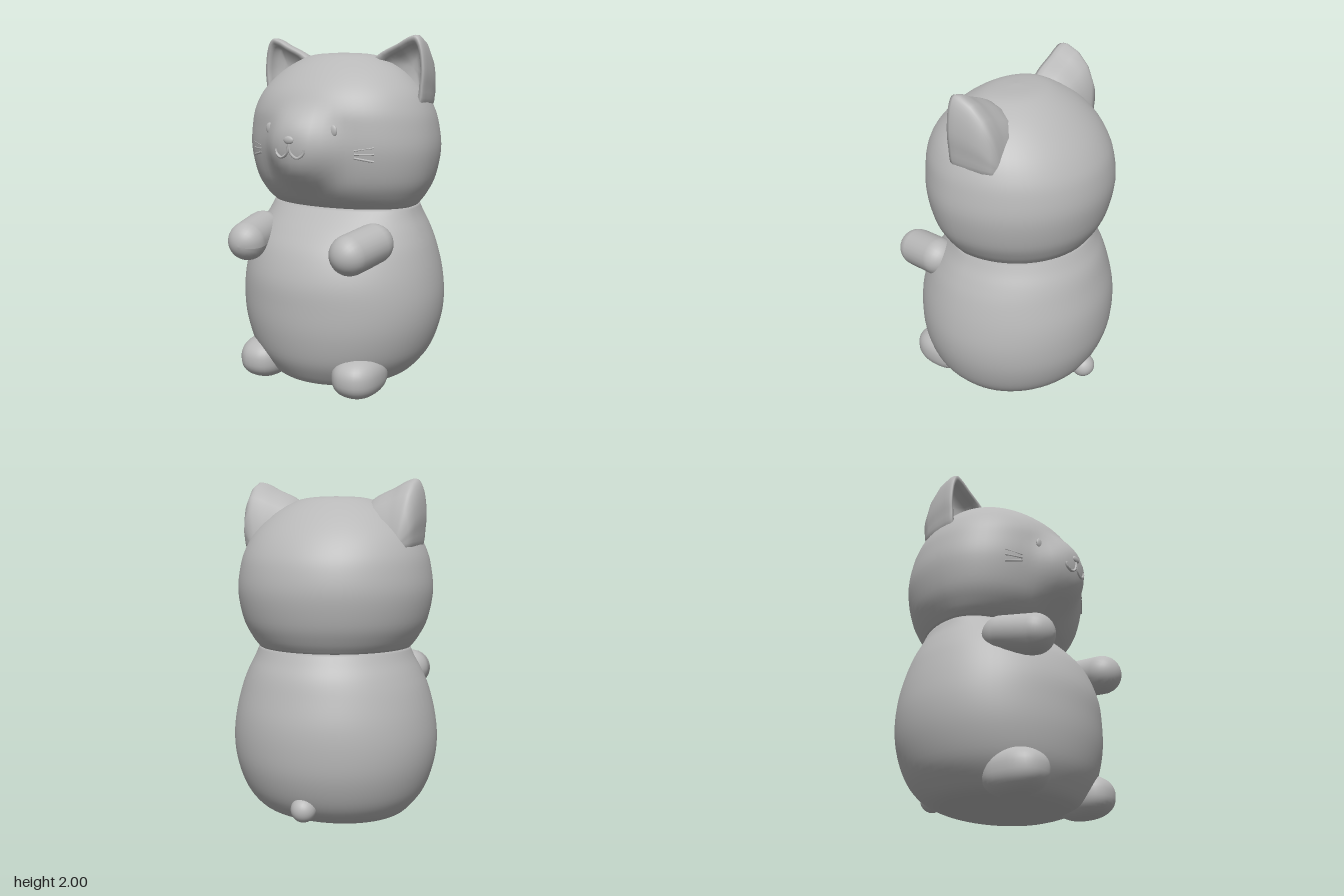
import * as THREE from 'three';

const fur = new THREE.MeshStandardMaterial({ color: 0xb8b8b8 });
fur.name = 'greyClay';

// Skin closed rings of equal length; both ends are closed with a fan.
function loft(rings) {
  const n = rings[0].length, pos = [], idx = [];
  rings.forEach(r => r.forEach(p => pos.push(...p)));
  for (let i = 0; i < rings.length - 1; i++)
    for (let j = 0; j < n; j++) {
      const a = i * n + j, b = i * n + (j + 1) % n;
      idx.push(a, a + n, b, b, a + n, b + n);
    }
  [0, rings.length - 1].forEach((k, end) => {
    const c = pos.length / 3, mid = [0, 1, 2].map(q => rings[k].reduce((s, p) => s + p[q], 0) / n);
    pos.push(...mid);
    for (let j = 0; j < n; j++) {
      const a = k * n + j, b = k * n + (j + 1) % n;
      idx.push(c, ...(end ? [b, a] : [a, b]));
    }
  });
  const g = new THREE.BufferGeometry();
  g.setAttribute('position', new THREE.Float32BufferAttribute(pos, 3));
  g.setIndex(idx);
  g.computeVertexNormals();
  return g;
}

// Rows are [y, half width, front depth, back depth], rounded off by a spline.
function roundForm(rows, bump = () => 0) {
  const side = new THREE.CatmullRomCurve3(rows.map(r => new THREE.Vector3(r[1], r[0], 0)), false, 'catmullrom');
  const deep = new THREE.CatmullRomCurve3(rows.map(r => new THREE.Vector3(r[2], r[0], r[3])), false, 'catmullrom');
  const rings = [], steps = rows.length * 4, n = 64;
  for (let i = 0; i <= steps; i++) {
    const s = side.getPoint(i / steps), d = deep.getPoint(i / steps), ring = [];
    for (let j = 0; j < n; j++) {
      const a = j / n * Math.PI * 2, c = Math.cos(a);
      const x = s.x * Math.sin(a), z = c > 0 ? d.x * c : d.z * c;
      ring.push([x, s.y, z + (c > 0 ? bump(x, s.y) : 0)]);
    }
    rings.push(ring.reverse());
  }
  return loft(rings);
}

// Mirror a geometry across x and restore its winding.
function mirrored(geo) {
  const g = geo.clone().scale(-1, 1, 1), a = g.index.array;
  for (let i = 0; i < a.length; i += 3) [a[i], a[i + 1]] = [a[i + 1], a[i]];
  g.computeVertexNormals();
  return g;
}

const muzzle = (x, y) => 0.09 * Math.exp(-(((x * x + (y - 1.38) ** 2) / 0.04) ** 2));
const faceZ = (x, y) => 0.462 * Math.sqrt(1 - (x / 0.575) ** 2) + muzzle(x, y);

// Thin raised line that follows the face.
function faceLine(points, radius = 0.006) {
  const curve = new THREE.CatmullRomCurve3(points.map(([x, y]) => new THREE.Vector3(x, y, faceZ(x, y))));
  return new THREE.TubeGeometry(curve, 14, radius, 6);
}

function capsule(from, to, radius) {
  const a = new THREE.Vector3(...from), b = new THREE.Vector3(...to), d = b.clone().sub(a);
  const g = new THREE.CapsuleGeometry(radius, d.length(), 10, 24);
  g.applyQuaternion(new THREE.Quaternion().setFromUnitVectors(new THREE.Vector3(0, 1, 0), d.normalize()));
  return g.translate(...a.add(b).multiplyScalar(0.5).toArray());
}

function blob(x, y, z, rx, ry, rz) {
  return new THREE.SphereGeometry(1, 28, 18).scale(rx, ry, rz).translate(x, y, z);
}

// Foot: slightly boxy ellipsoid with a flat sole.
function footGeometry() {
  const g = new THREE.SphereGeometry(1, 32, 24), p = g.attributes.position;
  const boxy = v => Math.sign(v) * Math.abs(v) ** 0.85;
  for (let i = 0; i < p.count; i++)
    p.setXYZ(i, 0.32 + 0.138 * boxy(p.getX(i)), Math.max(0, 0.118 + 0.122 * boxy(p.getY(i))), 0.335 + 0.185 * boxy(p.getZ(i)));
  g.computeVertexNormals();
  return g;
}

// Ear: rounded triangle with a hollow front and a sloping back.
function earGeometry() {
  const outline = new THREE.CatmullRomCurve3([
    [0.15, 1.6], [0.36, 1.56], [0.51, 1.6], [0.535, 1.72], [0.54, 1.82], [0.52, 1.95], [0.49, 1.998],
    [0.44, 1.99], [0.37, 1.955], [0.23, 1.885], [0.16, 1.78]
  ].map(p => new THREE.Vector3(p[0], p[1], 0)), true).getPoints(44).slice(0, -1);
  const ring = (sx, sy, z, cx, cy) => outline.map(p => [cx + (p.x - cx) * sx, cy + (p.y - cy) * sy, z]);
  const back = [[0.1, -0.222], [0.5, -0.205], [0.75, -0.155], [0.92, -0.085], [1, -0.01], [1, 0.02]];
  const front = [[0.96, 0.04], [0.8, 0.038], [0.72, 0.01], [0.6, -0.035], [0.2, -0.05]];
  return loft([
    ...back.map(([s, z]) => ring(Math.sqrt(s), s, z, 0.4, 1.62)),
    ...front.map(([s, z]) => ring(s, s, z, 0.44, 1.83))
  ].map(r => r.reverse()));
}

export function createModel() {
  const model = new THREE.Group();
  model.name = 'sittingCat';
  const add = (name, geo) => {
    const m = new THREE.Mesh(geo, fur);
    m.name = name;
    model.add(m);
  };
  const addPair = (name, geo) => {
    add('left' + name, geo);
    add('right' + name, mirrored(geo));
  };

  // Body and head meet at a creased neck.
  add('body', roundForm([
    [0.015, 0.3, 0.36, 0.24], [0.04, 0.41, 0.43, 0.34], [0.1, 0.48, 0.48, 0.45], [0.2, 0.55, 0.53, 0.53],
    [0.35, 0.6, 0.56, 0.585], [0.5, 0.615, 0.565, 0.602], [0.65, 0.598, 0.555, 0.595], [0.8, 0.56, 0.5, 0.56],
    [0.9, 0.52, 0.425, 0.53], [0.98, 0.48, 0.345, 0.49], [1.04, 0.455, 0.28, 0.46]
  ]));
  add('head', roundForm([
    [1.04, 0.455, 0.28, 0.46], [1.1, 0.5, 0.355, 0.5], [1.2, 0.55, 0.42, 0.542], [1.36, 0.58, 0.46, 0.568],
    [1.5, 0.567, 0.465, 0.55], [1.6, 0.54, 0.455, 0.508], [1.7, 0.485, 0.405, 0.435], [1.8, 0.385, 0.305, 0.33],
    [1.87, 0.265, 0.2, 0.225], [1.9, 0.17, 0.12, 0.14], [1.91, 0.01, 0.01, 0.01]
  ], muzzle));

  // Limbs, ears and tail
  addPair('Ear', earGeometry());
  addPair('Arm', capsule([0.38, 0.87, 0.3], [0.345, 0.84, 0.488], 0.113));
  addPair('Foot', footGeometry());
  add('tail', capsule([0, 0.21, -0.44], [0, 0.172, -0.515], 0.072));

  // Face relief
  addPair('Eye', blob(0.21, 1.49, faceZ(0.21, 1.49) - 0.004, 0.025, 0.032, 0.012));
  add('nose', blob(0, 1.44, faceZ(0, 1.44), 0.032, 0.022, 0.012));
  addPair('Mouth', faceLine([[0, 1.42], [0.012, 1.37], [0.05, 1.345], [0.085, 1.365], [0.09, 1.39]], 0.008));
  [[1.4, 1.385], [1.365, 1.365], [1.325, 1.345]].forEach(([outer, inner], i) =>
    addPair('Whisker' + (i + 1), faceLine([[0.31, inner], [0.4, outer]])));
  return model;
}
